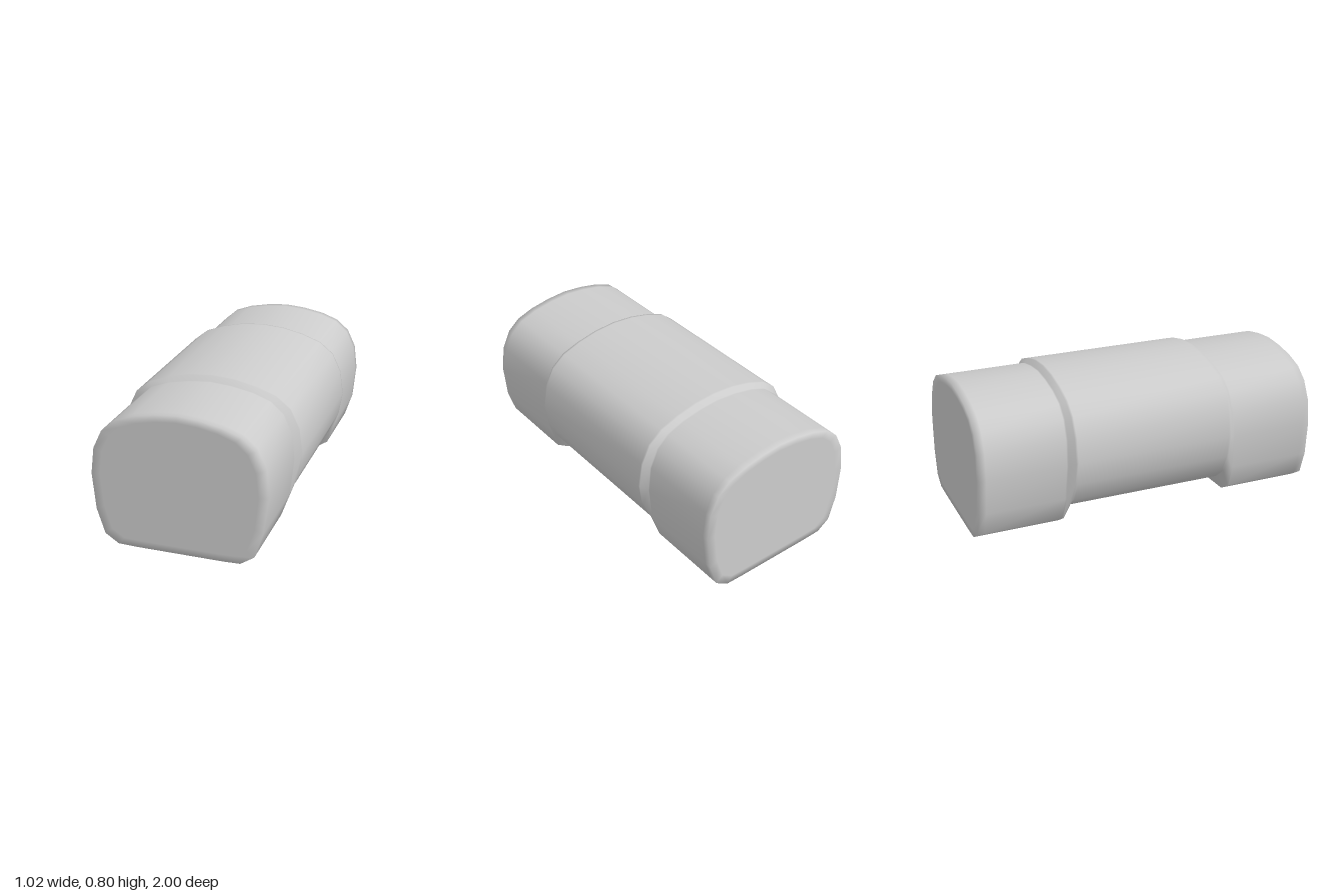
import * as THREE from 'three';

// Half profiles (x, y) running from top centre to bottom centre
const END = [[0, 0.77], [0.12, 0.76], [0.24, 0.737], [0.34, 0.7], [0.412, 0.637], [0.46, 0.535], [0.477, 0.39],
  [0.457, 0.19], [0.412, 0.052], [0.337, 0.003], [0.24, 0], [0.12, 0], [0, 0]];
const MID = [[0, 0.797], [0.13, 0.787], [0.25, 0.76], [0.36, 0.72], [0.44, 0.655], [0.49, 0.55], [0.51, 0.41],
  [0.49, 0.28], [0.44, 0.167], [0.36, 0.1], [0.25, 0.06], [0.13, 0.036], [0, 0.027]];
const CENTRE_Y = 0.39;

// Close a half profile by mirroring it across x
const mirror = (half) => [...half, ...half.slice(1, -1).reverse().map(([x, y]) => [-x, y])];

// Place a profile in depth; zAt gives z from height, scale shrinks it to the centre
function ring(half, zAt, scale = 1) {
  return mirror(half).map(([x, y]) => {
    const py = CENTRE_Y + (y - CENTRE_Y) * scale;
    return [x * scale, py, zAt(py)];
  });
}

// Skin a list of rings ordered front to back
function loft(rings) {
  const n = rings[0].length, index = [];
  for (let i = 0; i < rings.length - 1; i++) {
    for (let j = 0; j < n; j++) {
      const a = i * n + j, b = i * n + (j + 1) % n;
      if (i > 0) index.push(a, b, a + n);
      if (i < rings.length - 2) index.push(b, b + n, a + n);
      else index.push(a, b, a + n);
      if (i === 0) index.push(b, b + n, a + n);
    }
  }
  const geometry = new THREE.BufferGeometry();
  geometry.setAttribute('position', new THREE.Float32BufferAttribute(rings.flat(2), 3));
  geometry.setIndex(index);
  geometry.computeVertexNormals();
  return geometry;
}

export function createModel() {
  const face = (y) => 1 - 0.02 * y;                 // slightly leaning end face
  const step = (y) => 0.485 + 0.025 * (1 - y / 0.77); // foot of the sloped shoulder
  const front = [
    ring(END, face, 0),
    ring(END, face, 0.9),
    ring(END, face),
    ring(END, (y) => face(y) - 0.04),
    ring(END, (y) => step(y) + 0.01),
    ring(END, step),
    ring(MID, () => 0.465),
    ring(MID, () => 0.452),
  ];
  const back = front.map((r) => r.map(([x, y, z]) => [x, y, -z])).reverse();

  const body = new THREE.Mesh(
    loft([...front, ...back]),
    new THREE.MeshStandardMaterial({ color: 0xcccccc }),
  );
  body.name = 'steppedBody';
  const group = new THREE.Group();
  group.name = 'steppedBlock';
  group.add(body);
  return group;
}
